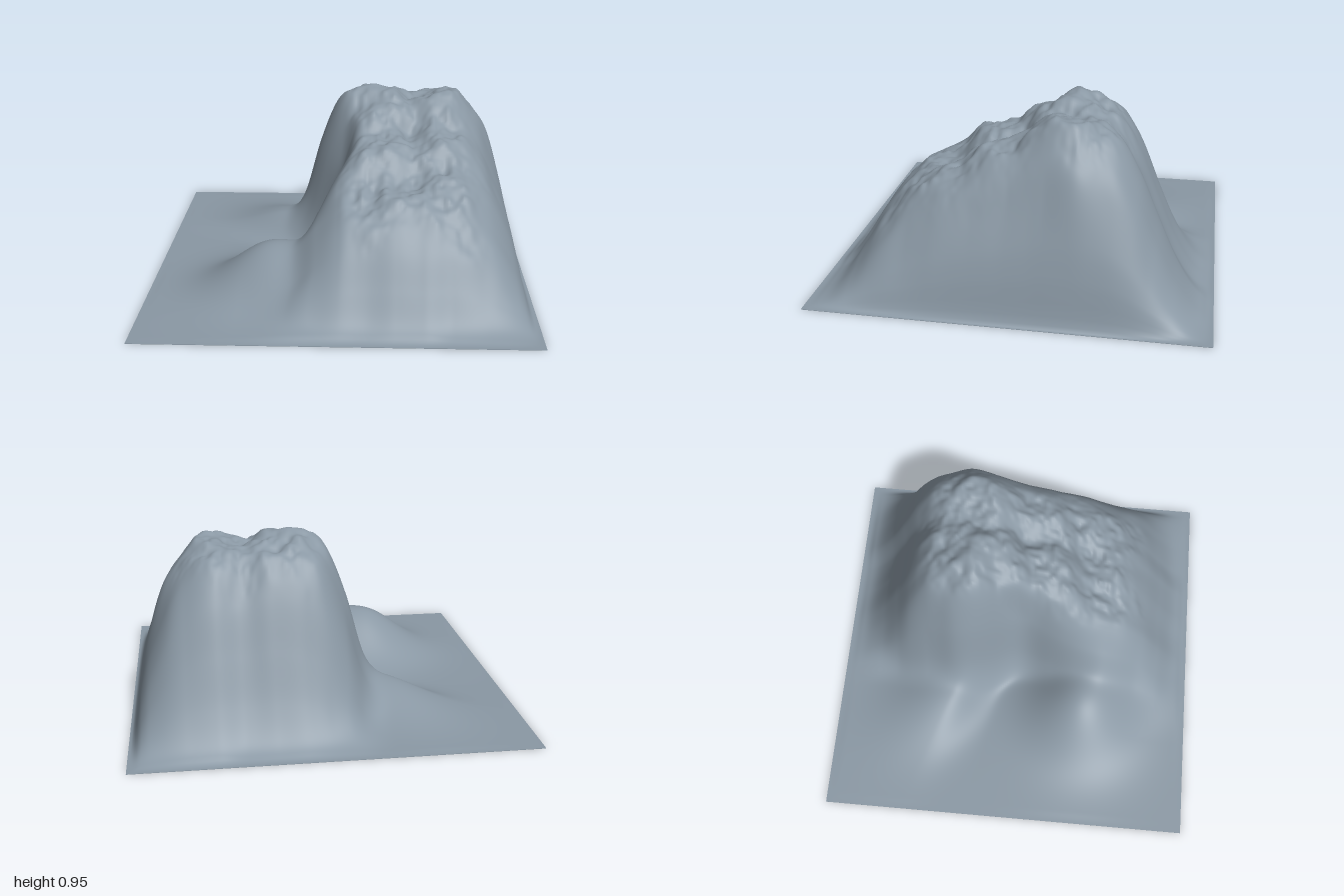
import * as THREE from 'three';

// Height profiles sampled every 0.1 from -1 to 1
const RIDGE_ALONG_Z = [0, .055, .21, .44, .68, .84, .89, .925, .93, .87, .81, .77, .72, .66, .6, .55, .48, .36, .2, .055, 0];
const SECTION_ALONG_X = [0, 0, 0, 0, 0, 0, 0, .05, .24, .64, .91, .98, 1, 1, .96, .97, .97, .89, .74, .43, 0];

const bell = (t) => Math.exp(-0.5 * t * t);
const smooth = THREE.MathUtils.smoothstep;

// Smooth cubic reading of a profile
function sample(profile, t) {
  const f = THREE.MathUtils.clamp((t + 1) * 10, 0, 19.9999);
  const i = Math.floor(f), u = f - i;
  const at = (k) => profile[THREE.MathUtils.clamp(k, 0, 20)];
  const a = at(i - 1), b = at(i), c = at(i + 1), d = at(i + 2);
  return Math.max(0, b + 0.5 * u * (c - a + u * (2 * a - 5 * b + 4 * c - d + u * (3 * (b - c) + d - a))));
}

// Seeded value noise in -1..1
function hash(x, y) {
  let n = Math.imul(x, 374761393) + Math.imul(y, 668265263) + 1013;
  n = Math.imul(n ^ (n >>> 13), 1274126177);
  return ((n ^ (n >>> 16)) >>> 0) / 2147483648 - 1;
}
function noise(x, y) {
  const i = Math.floor(x), j = Math.floor(y);
  const s = (t) => t * t * (3 - 2 * t);
  const u = s(x - i), v = s(y - j), lerp = THREE.MathUtils.lerp;
  return lerp(lerp(hash(i, j), hash(i + 1, j), u), lerp(hash(i, j + 1), hash(i + 1, j + 1), u), v);
}
function fbm(x, y) {
  return noise(x, y) * 0.5 + noise(x * 2.1 + 7, y * 2.1) * 0.32 + noise(x * 4.3, y * 4.3 + 5) * 0.15;
}

function height(x, z) {
  // Main massif: west wall cut back by a valley, easing out towards the front
  const west = 1 - smooth(x, 0, 0.3);
  const cut = west * (0.1 * bell((z - 0.03) / 0.13) - 0.02 * bell((z + 0.25) / 0.12) + 0.03 * bell((z + 0.78) / 0.1));
  const flute = 0.018 * noise(x * 5, z * 6) * (1 - smooth(x, 0.8, 1));
  const sx = (x < 0 ? x * (1 - 0.2 * smooth(z, 0.2, 0.5)) : x) - cut + flute;
  const sz = z + 0.018 * noise(x * 7, 3) * smooth(Math.abs(z), 0.1, 0.4);
  const corners = (1 - 0.25 * smooth(x, 0.5, 0.9) * smooth(z, 0.35, 0.8))
    * (1 - 0.3 * (1 - smooth(x, -0.15, 0.3)) * (1 - smooth(z, -0.85, -0.45)));
  const main = sample(RIDGE_ALONG_Z, sz) * sample(SECTION_ALONG_X, sx) * corners;

  // Western knoll, broadening in front where it meets the massif
  const front = z > 0.4 ? 0.2 + 0.06 * smooth(x, -0.5, -0.1) : 0.2;
  const knoll = 0.27 * bell((x + 0.33) / 0.215) * bell((z - 0.4) / front);

  // Low spur behind the valley, steeper on its front side
  const dz = z + 0.33 - 0.4 * (x + 0.3);
  const spur = 0.15 * bell((x + 0.27) / 0.23) * bell(dz / (dz > 0 ? 0.11 : 0.22));
  let h = Math.hypot(main, knoll, spur);

  // Broken rock on the summit slope, with slanting ledges across it
  const rx = x + 0.07 * noise(x * 6, z * 6), rz = z + 0.07 * noise(x * 6 + 9, z * 6);
  const rocky = smooth(rx, -0.06, 0.15) * (1 - smooth(rx, 0.6, 0.82))
    * smooth(rz, -0.65, -0.4) * (1 - smooth(rz, 0.52, 0.7));
  const ledge = -Math.sin((z + 0.4 * (x - 0.45) + 0.07) * 19.6 + 1.2 * noise(x * 5, z * 5));
  h += rocky * (0.05 * fbm(x * 8, z * 8) + 0.016 * ledge * smooth(z, -0.3, -0.1));

  // Level rim
  const edge = Math.max(Math.abs(x), Math.abs(z));
  return 0.003 + h * (1 - smooth(edge, 0.94, 1));
}

export function createModel() {
  const group = new THREE.Group();
  const material = new THREE.MeshStandardMaterial({ color: 0x8a98a4 });

  // Terrain surface
  const surface = new THREE.PlaneGeometry(2, 2, 180, 180).rotateX(-Math.PI / 2);
  const p = surface.attributes.position;
  for (let i = 0; i < p.count; i++) p.setY(i, height(p.getX(i), p.getZ(i)));
  surface.computeVertexNormals();
  const terrain = new THREE.Mesh(surface, material);
  terrain.name = 'mountainTerrain';

  // Thin plate closing the underside
  const plate = new THREE.Mesh(new THREE.BoxGeometry(2, 0.002, 2).translate(0, 0.001, 0), material);
  plate.name = 'basePlate';

  group.add(terrain, plate);
  return group;
}
